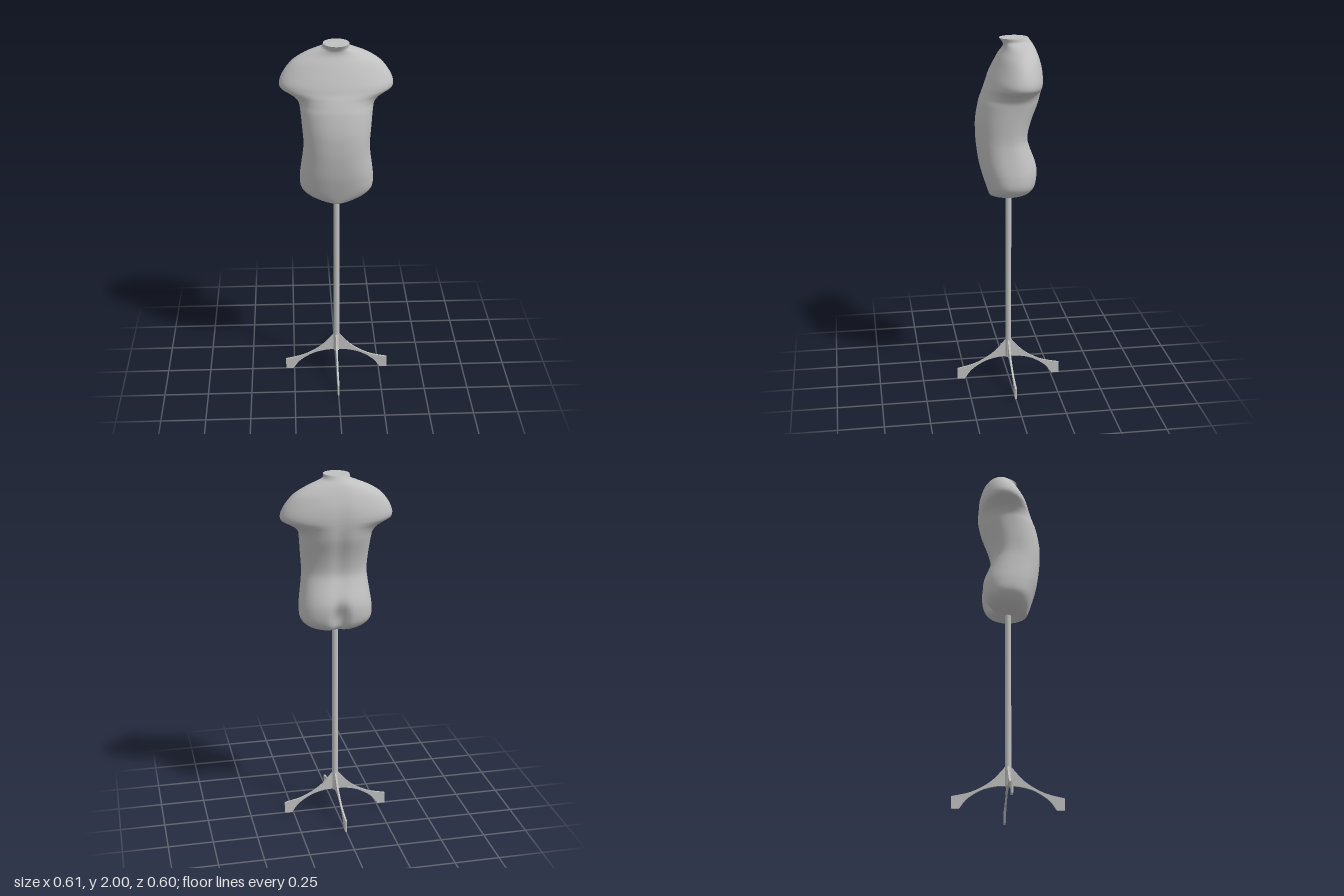
import * as THREE from 'three';

// Torso cross-sections, bottom to top: [y, half width, z of widest point, front z, back z, roundness]
const SECTIONS = [
  [1.125, 0.03, 0.06, 0.1, 0.01, 2],
  [1.132, 0.09, 0.02, 0.107, -0.06, 2],
  [1.145, 0.135, 0.0, 0.112, -0.1, 2.1],
  [1.168, 0.172, -0.005, 0.12, -0.128, 2.3],
  [1.205, 0.198, -0.005, 0.132, -0.144, 2.4],
  [1.265, 0.201, 0.0, 0.15, -0.152, 2.4],
  [1.32, 0.195, 0.01, 0.163, -0.145, 2.4],
  [1.4, 0.184, 0.02, 0.175, -0.115, 2.4],
  [1.465, 0.179, 0.03, 0.18, -0.1, 2.4],
  [1.555, 0.186, 0.025, 0.18, -0.12, 2.3],
  [1.65, 0.195, 0.005, 0.163, -0.155, 2.3],
  [1.69, 0.204, -0.01, 0.15, -0.166, 2.2],
  [1.72, 0.23, -0.02, 0.138, -0.172, 2.1],
  [1.742, 0.268, -0.03, 0.128, -0.175, 2.1],
  [1.762, 0.3, -0.035, 0.118, -0.177, 2.1],
  [1.795, 0.304, -0.037, 0.106, -0.178, 2.1],
  [1.845, 0.282, -0.042, 0.083, -0.174, 2.0],
  [1.9, 0.236, -0.05, 0.055, -0.16, 2.0],
  [1.94, 0.172, -0.055, 0.032, -0.145, 1.9],
  [1.963, 0.115, -0.05, 0.028, -0.133, 1.9],
  [1.978, 0.076, -0.04, 0.034, -0.122, 2],
  [2.0, 0.07, -0.03, 0.05, -0.106, 2],
];

// Lofts the sections into a smooth body with a spine groove
function torsoGeometry() {
  const rows = 84, sides = 64;
  const curveA = new THREE.CatmullRomCurve3(SECTIONS.map(s => new THREE.Vector3(s[0], s[1], s[2])), false, 'catmullrom');
  const curveB = new THREE.CatmullRomCurve3(SECTIONS.map(s => new THREE.Vector3(s[3], s[4], s[5])), false, 'catmullrom');
  const pos = [], idx = [];
  const bump = (v, c, r) => Math.exp(-(((v - c) / r) ** 2));
  for (let i = 0; i <= rows; i++) {
    const { x: y, y: w, z: zc } = curveA.getPoint(i / rows);
    const { x: front, y: back, z: n } = curveB.getPoint(i / rows);
    // cleft between the buttocks, shallower groove along the spine
    const groove = 0.055 * bump(y, 1.215, 0.08) + 0.014 * bump(y, 1.6, 0.22);
    for (let j = 0; j < sides; j++) {
      const a = j / sides * Math.PI * 2, c = Math.cos(a), s = Math.sin(a);
      const x = Math.sign(c) * Math.abs(c) ** (2 / n) * w;
      const d = Math.abs(s) ** (2 / n);
      let z = zc + d * (s > 0 ? front - zc : back - zc);
      if (s < 0) z += groove * d * bump(x, 0, 0.035);
      pos.push(x, Math.min(y, 2), z);
    }
  }
  for (let i = 0; i < rows; i++) {
    for (let j = 0; j < sides; j++) {
      const a = i * sides + j, b = i * sides + (j + 1) % sides;
      idx.push(a, a + sides, b, b, a + sides, b + sides);
    }
  }
  // closed underside
  const bottom = pos.length / 3;
  pos.push(0, 1.124, 0.055);
  for (let j = 0; j < sides; j++) idx.push(bottom, j, (j + 1) % sides);
  // flat neck top on its own ring, keeping the rim sharp
  const ring = pos.length / 3, start = rows * sides * 3;
  pos.push(...pos.slice(start, start + sides * 3), 0, 2, -0.03);
  for (let j = 0; j < sides; j++) idx.push(ring + sides, ring + (j + 1) % sides, ring + j);

  const g = new THREE.BufferGeometry();
  g.setAttribute('position', new THREE.Float32BufferAttribute(pos, 3));
  g.setIndex(idx);
  g.computeVertexNormals();
  return g;
}

// Flat curved foot, running outward along +x
function legGeometry() {
  const thickness = 0.01;
  const shape = new THREE.Shape();
  shape.moveTo(0, 0.235);
  shape.lineTo(0.015, 0.235);
  shape.splineThru([[0.09, 0.153], [0.19, 0.094], [0.3, 0.066]].map(p => new THREE.Vector2(...p)));
  shape.lineTo(0.3, 0);
  shape.lineTo(0.257, 0);
  shape.splineThru([[0.215, 0.055], [0.14, 0.103], [0.065, 0.124], [0.015, 0.127]].map(p => new THREE.Vector2(...p)));
  shape.lineTo(0, 0.127);
  const g = new THREE.ExtrudeGeometry(shape, { depth: thickness, bevelEnabled: false, curveSegments: 8 });
  return g.translate(0, 0, -thickness / 2);
}

export function createModel() {
  const model = new THREE.Group();
  model.name = 'dressForm';
  const grey = new THREE.MeshStandardMaterial({ color: 0xc0c0c0 });
  grey.name = 'light grey';
  const add = (name, geometry) => {
    const mesh = new THREE.Mesh(geometry, grey);
    mesh.name = name;
    model.add(mesh);
    return mesh;
  };

  add('torso', torsoGeometry());

  // Pole, from the hub of the legs into the torso
  add('pole', new THREE.CylinderGeometry(0.017, 0.017, 1.075, 20)).position.y = 0.125 + 1.075 / 2;

  // Four legs in a cross
  const leg = legGeometry();
  ['leftLeg', 'backLeg', 'rightLeg', 'frontLeg'].forEach((name, i) => {
    add(name, leg).rotation.y = i * Math.PI / 2;
  });
  return model;
}
